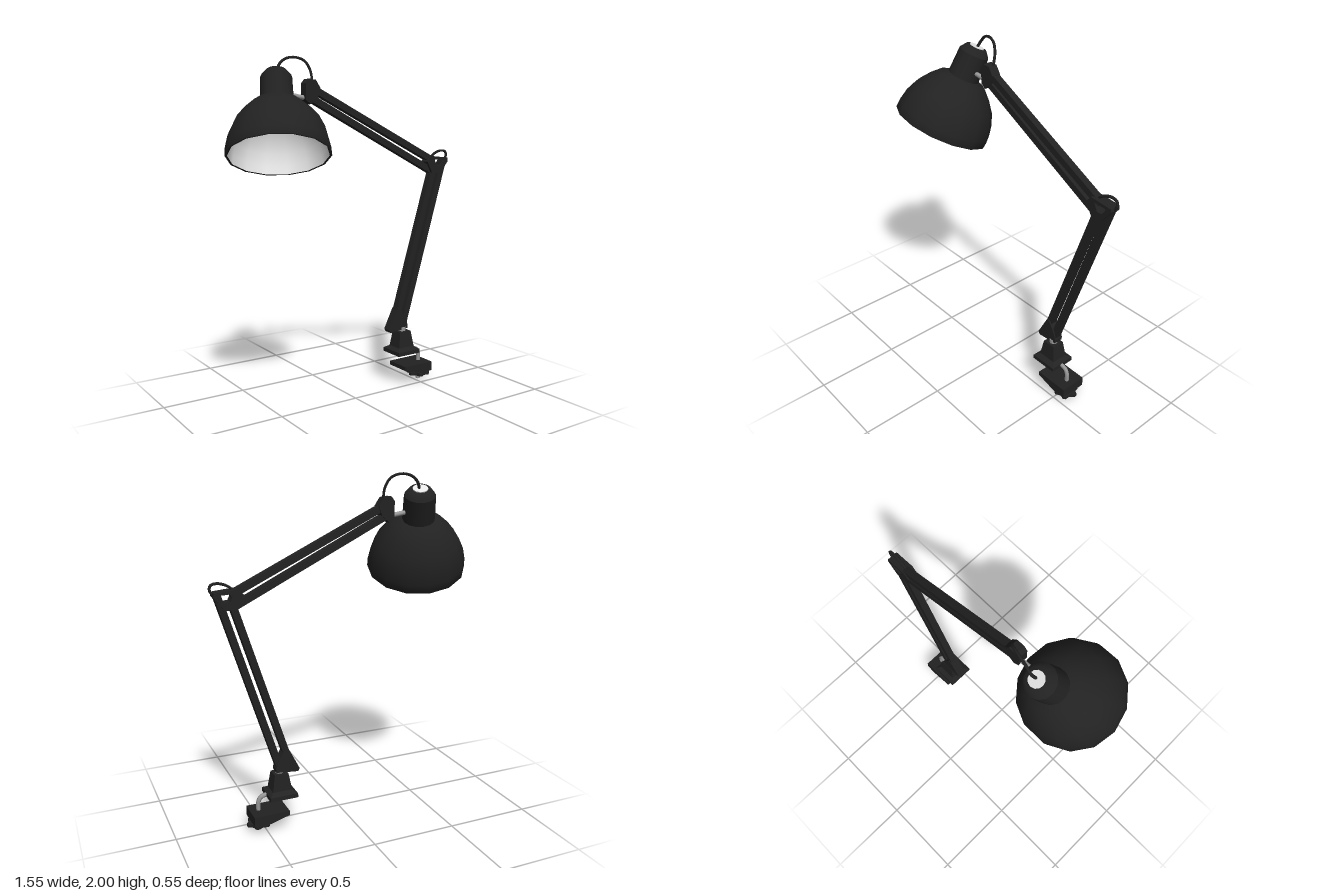
import * as THREE from 'three';

const black = new THREE.MeshStandardMaterial({ color: 0x222222 });
black.name = 'black enamel';
const steel = new THREE.MeshStandardMaterial({ color: 0x9a9a9a });
steel.name = 'steel';
const white = new THREE.MeshStandardMaterial({ color: 0xeeeeee });
white.name = 'white lining';

const V = (x, y, z) => new THREE.Vector3(x, y, z);

function add(parent, name, geometry, material, x = 0, y = 0, z = 0) {
  const mesh = new THREE.Mesh(geometry, material);
  mesh.name = name;
  mesh.position.set(x, y, z);
  parent.add(mesh);
  return mesh;
}

// Square bar running between two points
function bar(parent, name, a, b, height, depth) {
  const mesh = add(parent, name, new THREE.BoxGeometry(a.distanceTo(b), height, depth), black);
  mesh.position.copy(a).add(b).multiplyScalar(0.5);
  mesh.quaternion.setFromUnitVectors(V(1, 0, 0), b.clone().sub(a).normalize());
  return mesh;
}

// Flat x-y outline given thickness around depth z
function plate(parent, name, outline, z, depth, hole) {
  const toPoints = (list) => list.map(([x, y]) => new THREE.Vector2(x, y));
  const shape = new THREE.Shape(toPoints(outline));
  if (hole) shape.holes.push(new THREE.Path(toPoints(hole)));
  const geometry = new THREE.ExtrudeGeometry(shape, { depth, bevelEnabled: false });
  return add(parent, name, geometry, black, 0, 0, z - depth / 2);
}

function tube(parent, name, points, radius, material) {
  const curve = new THREE.CatmullRomCurve3(points);
  return add(parent, name, new THREE.TubeGeometry(curve, 20, radius, 6), material);
}

// Box whose top is narrower than its base
function taperedBox(bottom, top, height) {
  const geometry = new THREE.BoxGeometry(1, height, 1);
  const p = geometry.attributes.position;
  for (let i = 0; i < p.count; i++) {
    const [w, d] = p.getY(i) > 0 ? top : bottom;
    p.setX(i, p.getX(i) * w);
    p.setZ(i, p.getZ(i) * d);
  }
  geometry.computeVertexNormals();
  return geometry;
}

function lathe(profile, sides) {
  const points = profile.map(([r, y]) => new THREE.Vector2(r, y));
  return new THREE.LatheGeometry(points, sides, Math.PI / sides);
}

function createHead() {
  const head = new THREE.Group();
  head.name = 'lampHead';
  head.position.set(-0.5, 1.455, 0.01);
  head.quaternion.setFromUnitVectors(V(0, 1, 0), V(0.19, 0.9, -0.39).normalize());
  add(head, 'shade', lathe([[0.272, 0], [0.285, 0], [0.282, 0.05], [0.267, 0.12],
    [0.238, 0.185], [0.193, 0.245], [0.137, 0.302], [0.07, 0.325]], 14), black);
  add(head, 'shadeLining', lathe([[0, 0.3], [0.12, 0.292], [0.18, 0.235], [0.225, 0.178],
    [0.254, 0.115], [0.268, 0.05], [0.272, 0]], 14), white);
  add(head, 'neck', lathe([[0.093, 0.29], [0.088, 0.465]], 14), black);
  add(head, 'neckShoulder', lathe([[0.088, 0.465], [0.06, 0.502], [0, 0.502]], 14), black);
  add(head, 'neckCap', new THREE.CylinderGeometry(0.043, 0.043, 0.006, 12), white, 0, 0.504, 0);
  return head;
}

function createClamp() {
  const clamp = new THREE.Group();
  clamp.name = 'deskClamp';
  const z = -0.078;
  add(clamp, 'swivelPin', new THREE.CylinderGeometry(0.025, 0.025, 0.04, 10), steel, 0.405, 0.34, z);
  add(clamp, 'post', taperedBox([0.115, 0.1], [0.082, 0.076], 0.1), black, 0.405, 0.285, z);
  add(clamp, 'flangeSlope', taperedBox([0.165, 0.16], [0.115, 0.1], 0.018), black, 0.405, 0.228, z);
  add(clamp, 'flange', new THREE.BoxGeometry(0.165, 0.024, 0.16), black, 0.405, 0.208, z);
  tube(clamp, 'clampRod', [V(0.45, 0.208, -0.072), V(0.49, 0.207, -0.072), V(0.52, 0.197, -0.072),
    V(0.534, 0.17, -0.072), V(0.535, 0.1, -0.072)], 0.013, steel);
  plate(clamp, 'jaw', [[0.375, 0.12], [0.375, 0.095], [0.51, 0.057], [0.585, 0.062], [0.585, 0.12]], z, 0.162);
  add(clamp, 'screw', new THREE.CylinderGeometry(0.014, 0.014, 0.07, 8), steel, 0.535, 0.035, -0.072);

  // Scalloped thumb wheel
  const wheel = new THREE.Shape();
  for (let i = 0; i < 24; i++) {
    const a = (i / 24) * Math.PI * 2;
    const r = i % 4 < 2 ? 0.072 : 0.057;
    wheel[i ? 'lineTo' : 'moveTo'](Math.cos(a) * r, Math.sin(a) * r);
  }
  const wheelGeometry = new THREE.ExtrudeGeometry(wheel, { depth: 0.018, bevelEnabled: false });
  wheelGeometry.rotateX(-Math.PI / 2);
  add(clamp, 'thumbWheel', wheelGeometry, black, 0.535, 0.032, -0.072);
  add(clamp, 'wheelHub', new THREE.CylinderGeometry(0.04, 0.03, 0.035, 10), black, 0.535, 0.04, -0.072);
  return clamp;
}

export function createModel() {
  const lamp = new THREE.Group();
  lamp.name = 'deskLamp';
  lamp.add(createHead(), createClamp());

  // Upper arm, bracket and the pin that carries the head
  bar(lamp, 'upperArmTopBar', V(-0.215, 1.82, -0.13), V(0.66, 1.392, -0.104), 0.038, 0.042);
  bar(lamp, 'upperArmBottomBar', V(-0.225, 1.767, -0.13), V(0.63, 1.336, -0.104), 0.038, 0.042);
  plate(lamp, 'headBracket', [[-0.265, 1.845], [-0.265, 1.755], [-0.235, 1.73], [-0.19, 1.765],
    [-0.17, 1.82], [-0.2, 1.865], [-0.245, 1.87]], -0.128, 0.055);
  const pin = add(lamp, 'headPin', new THREE.CylinderGeometry(0.013, 0.013, 0.16, 8), steel, -0.32, 1.775, -0.13);
  pin.rotation.z = Math.PI / 2 - 0.15;

  // Lower arm
  bar(lamp, 'lowerArmLeftBar', V(0.368, 0.452, -0.087), V(0.648, 1.335, -0.1), 0.038, 0.042);
  bar(lamp, 'lowerArmRightBar', V(0.41, 0.373, -0.087), V(0.729, 1.39, -0.1), 0.038, 0.042);

  // Elbow and base brackets
  plate(lamp, 'elbowBracket', [[0.59, 1.39], [0.627, 1.32], [0.695, 1.315], [0.755, 1.39],
    [0.752, 1.412], [0.62, 1.425]], -0.1, 0.064, [[0.645, 1.402], [0.728, 1.398], [0.695, 1.36], [0.665, 1.36]]);
  plate(lamp, 'baseBracket', [[0.295, 0.355], [0.305, 0.337], [0.435, 0.35], [0.437, 0.37],
    [0.42, 0.42], [0.38, 0.485], [0.36, 0.485]], -0.087, 0.056);

  // Power cable loops
  tube(lamp, 'headCable', [V(-0.398, 1.91, -0.185), V(-0.38, 1.945, -0.198), V(-0.345, 1.978, -0.195),
    V(-0.29, 1.99, -0.185), V(-0.235, 1.972, -0.168), V(-0.207, 1.92, -0.15), V(-0.205, 1.84, -0.13)], 0.008, black);
  tube(lamp, 'elbowCable', [V(0.63, 1.405, -0.1), V(0.67, 1.44, -0.1), V(0.725, 1.457, -0.1),
    V(0.76, 1.448, -0.1), V(0.764, 1.42, -0.1), V(0.735, 1.385, -0.1)], 0.008, black);
  return lamp;
}
